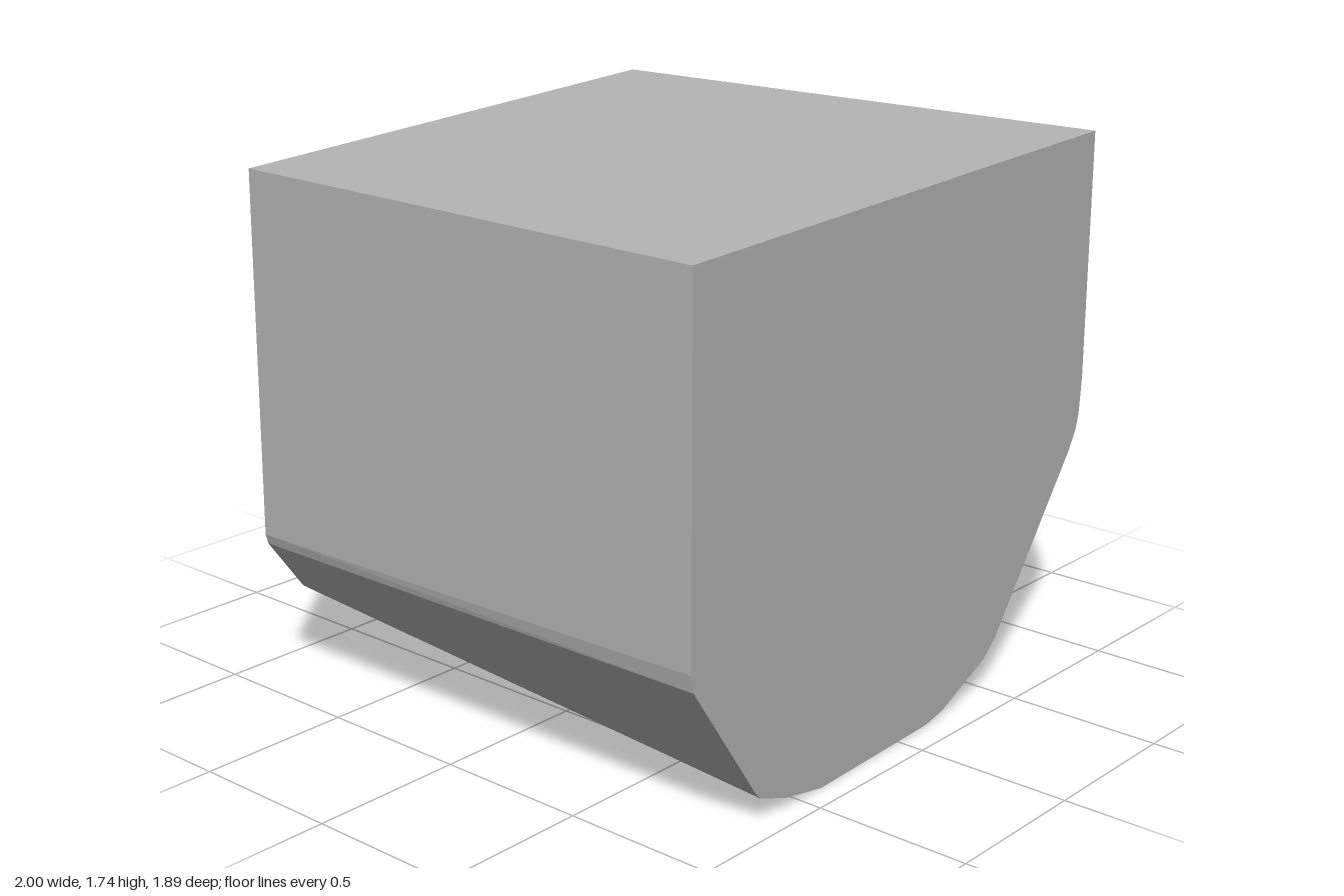
import * as THREE from 'three';

// Matching end outlines [x, y], from the top +x corner down, under and up to the top -x corner
const FRONT = [
  [1, 1.725], [1, 0.92], [0.99, 0.8], [0.975, 0.75], [0.94, 0.69],
  [0.53, 0.165], [0.47, 0.115], [0.24, 0.02], [0.15, 0.003], [-0.4, 0],
  [-0.57, 0.035], [-0.69, 0.08], [-0.71, 0.1], [-0.99, 0.505], [-1, 0.56], [-1, 1.68],
];
const BACK = [
  [0.86, 1.735], [0.86, 0.8], [0.845, 0.635], [0.83, 0.59], [0.805, 0.555],
  [0.66, 0.37], [0.635, 0.35], [0.53, 0.3], [0.39, 0.272], [-0.5, 0.262],
  [-0.59, 0.264], [-0.772, 0.28], [-0.848, 0.31], [-0.99, 0.497], [-1, 0.53], [-1, 1.69],
];

// The end faces are slightly tilted planes
const frontZ = (x) => 0.912 - 0.03 * x;
const backZ = (x, y) => -(0.8685 + 0.0775 * x + 0.012 * (1.73 - y));

function loftGeometry() {
  const front = FRONT.map(([x, y]) => [x, y, frontZ(x)]);
  const back = BACK.map(([x, y]) => [x, y, backZ(x, y)]);
  const positions = [];
  const tri = (...corners) => corners.forEach((c) => positions.push(...c));
  const n = front.length;

  // Skin between the two outlines, including the flat top
  for (let i = 0; i < n; i++) {
    const j = (i + 1) % n;
    tri(front[i], front[j], back[j]);
    tri(front[i], back[j], back[i]);
  }
  // End caps
  for (let i = 1; i < n - 1; i++) {
    tri(front[0], front[i + 1], front[i]);
    tri(back[0], back[i], back[i + 1]);
  }

  const geometry = new THREE.BufferGeometry();
  geometry.setAttribute('position', new THREE.Float32BufferAttribute(positions, 3));
  geometry.computeVertexNormals();
  return geometry;
}

export function createModel() {
  const model = new THREE.Group();
  model.name = 'taperedBlock';
  const grey = new THREE.MeshStandardMaterial({ color: 0xb4b4b4, flatShading: true });
  grey.name = 'plainGrey';
  const body = new THREE.Mesh(loftGeometry(), grey);
  body.name = 'body';
  model.add(body);
  return model;
}
